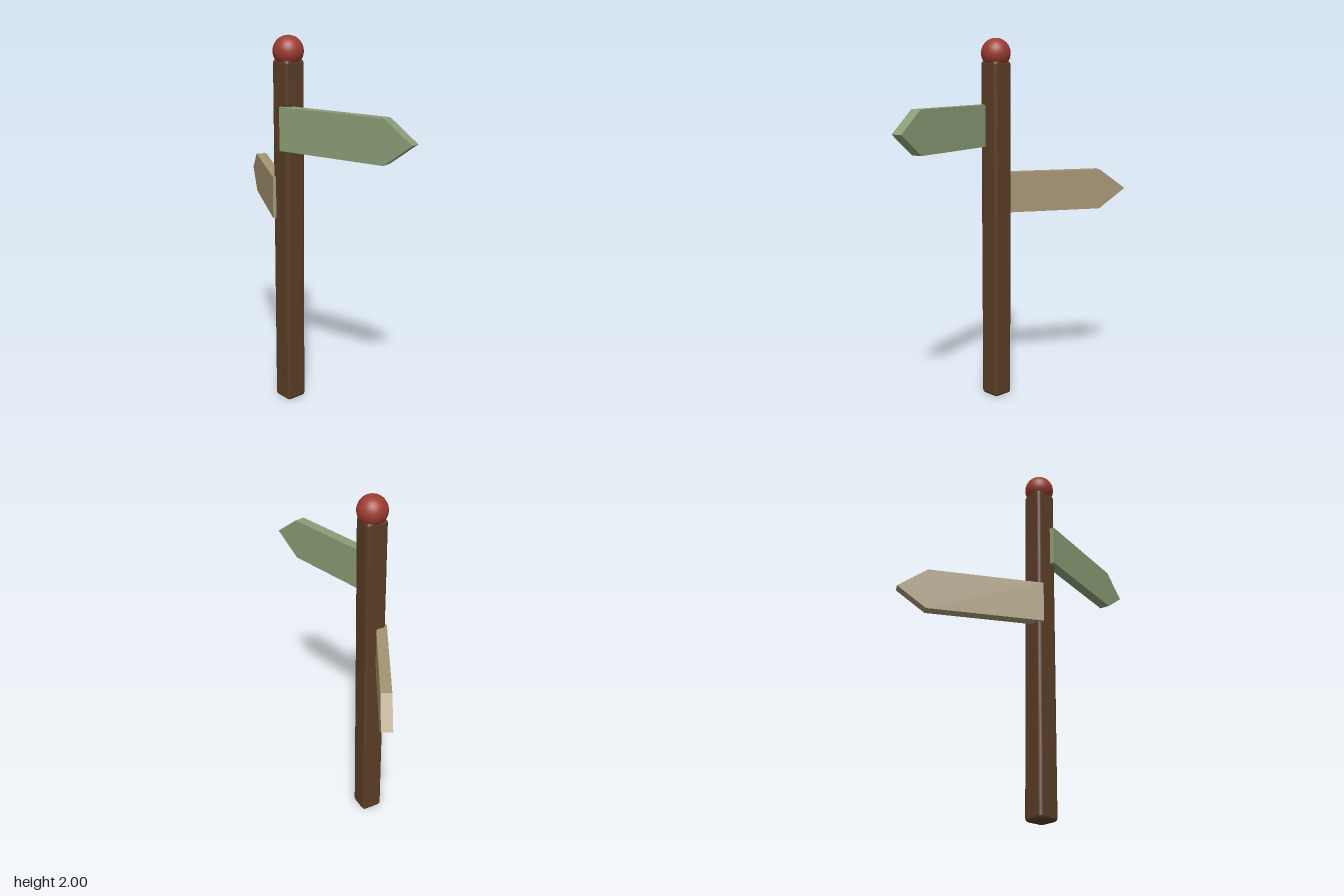
import * as THREE from 'three';
import { RoundedBoxGeometry } from 'three/addons/geometries/RoundedBoxGeometry.js';

const POST_X = -0.028, POST_Z = 0.129;
const LENGTH = 0.774, SHOULDER = 0.62, HALF_HEIGHT = 0.113, THICKNESS = 0.057;

function addMesh(parent, name, geometry, color, x, y, z) {
  const mesh = new THREE.Mesh(geometry, new THREE.MeshStandardMaterial({ color }));
  mesh.name = name;
  mesh.position.set(x, y, z);
  parent.add(mesh);
  return mesh;
}

// Pointed board; its front face lies on z = 0 and it runs along dir * x
function boardGeometry(dir) {
  const shape = new THREE.Shape([
    [0, -HALF_HEIGHT], [SHOULDER, -HALF_HEIGHT], [LENGTH, 0],
    [SHOULDER, HALF_HEIGHT], [0, HALF_HEIGHT],
  ].map(([x, y]) => new THREE.Vector2(dir * x, y)));
  return new THREE.ExtrudeGeometry(shape, { depth: THICKNESS, bevelEnabled: false })
    .translate(0, 0, -THICKNESS);
}

export function createModel() {
  const model = new THREE.Group();
  model.name = 'signpost';

  // Square post with softened edges
  addMesh(model, 'post', new RoundedBoxGeometry(0.122, 1.88, 0.122, 3, 0.02), 0x5a3d26, POST_X, 0.94, POST_Z);

  // Ball finial
  addMesh(model, 'finial', new THREE.SphereGeometry(0.08, 32, 20), 0x9c3c30, POST_X, 1.92, POST_Z);

  // Direction boards, both swept backwards
  const upper = addMesh(model, 'upperBoard', boardGeometry(1), 0x8c9c76, 0, 1.533, 0.213);
  upper.rotation.y = 0.25;
  const lower = addMesh(model, 'lowerBoard', boardGeometry(-1), 0xa39472, -0.07, 1.157, 0.205);
  lower.rotation.y = -0.5;

  return model;
}
